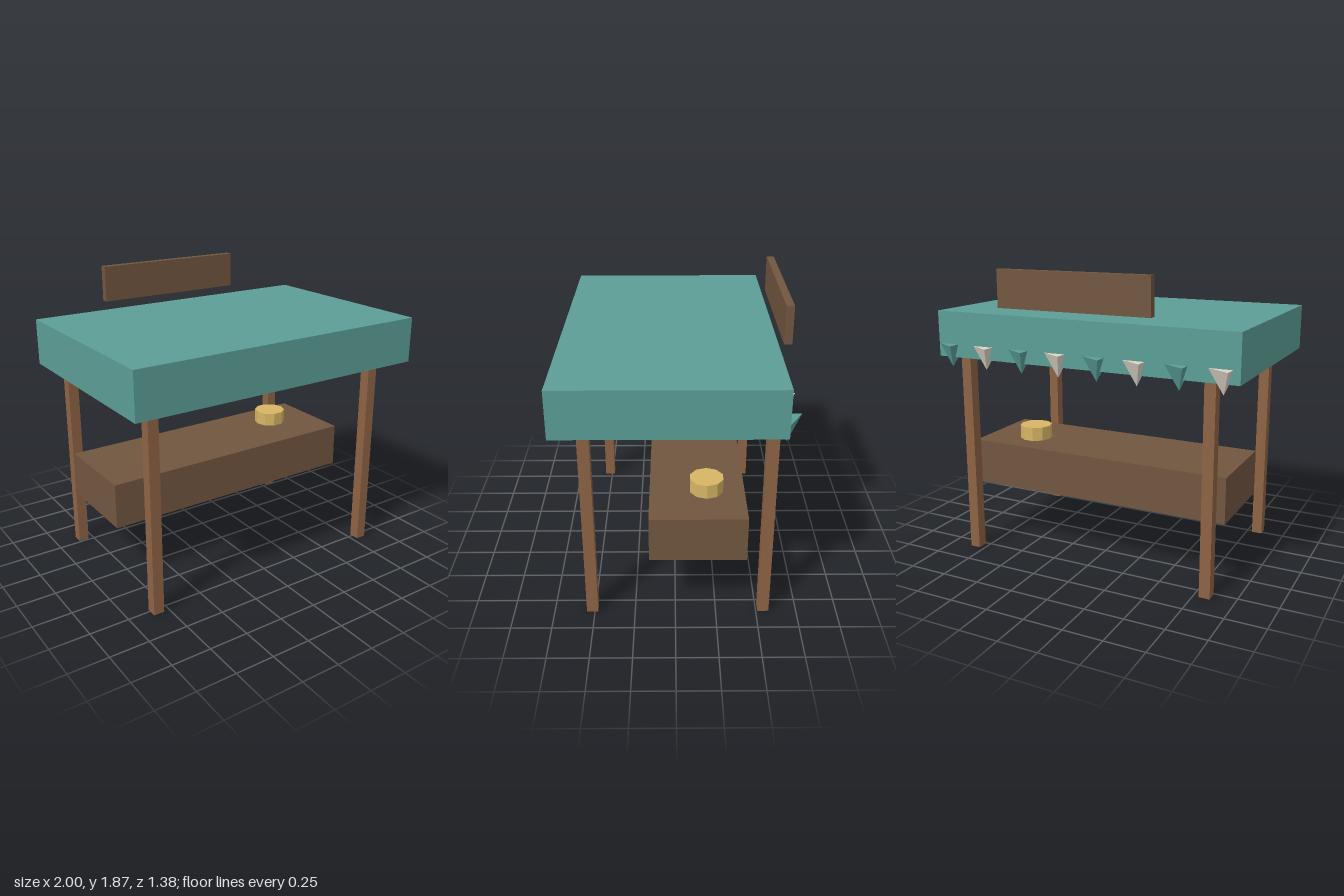
import * as THREE from 'three';

const mat = (color) => new THREE.MeshStandardMaterial({ color, flatShading: true });

export function createModel() {
  const model = new THREE.Group();
  model.name = 'marketStall';

  const teal = mat(0x5b9e96);
  const cream = mat(0xddd4c8);
  const darkWood = mat(0x715640);
  const postWood = mat(0x8d6344);
  const gold = mat(0xd6b564);

  const add = (name, geometry, material, x, y, z) => {
    const mesh = new THREE.Mesh(geometry, material);
    mesh.name = name;
    mesh.position.set(x, y, z);
    model.add(mesh);
    return mesh;
  };

  // Canopy block
  add('canopy', new THREE.BoxGeometry(2, 0.29, 1.295), teal, 0, 1.445, 0.04);

  // Four corner posts
  const post = new THREE.BoxGeometry(0.068, 1.3, 0.07);
  for (const [side, x] of [['left', 0.82], ['right', -0.82]]) {
    add(`${side}FrontPost`, post, postWood, x, 0.65, 0.515);
    add(`${side}BackPost`, post, postWood, x, 0.65, -0.545);
  }

  // Counter and the ten-sided drum on it
  add('counter', new THREE.BoxGeometry(1.76, 0.29, 0.585), darkWood, 0, 0.56, -0.135);
  const drum = add('drum', new THREE.CylinderGeometry(0.106, 0.106, 0.09, 10), gold, 0.555, 0.75, -0.193);
  drum.rotation.y = Math.PI / 2;

  // Sign board floating above the back edge
  add('signBoard', new THREE.BoxGeometry(1, 0.23, 0.047), darkWood, 0, 1.755, -0.643);

  // Row of three-sided pennants along the back, points down
  const pennant = new THREE.ConeGeometry(0.094, 0.145, 3);
  pennant.rotateX(Math.PI).rotateY(-Math.PI / 2);
  for (let i = 0; i < 8; i++) {
    const x = -0.908 + i * 0.2586;
    add(`pennant${i + 1}`, pennant, i % 2 ? teal : cream, x, 1.31, -0.607);
  }

  return model;
}
